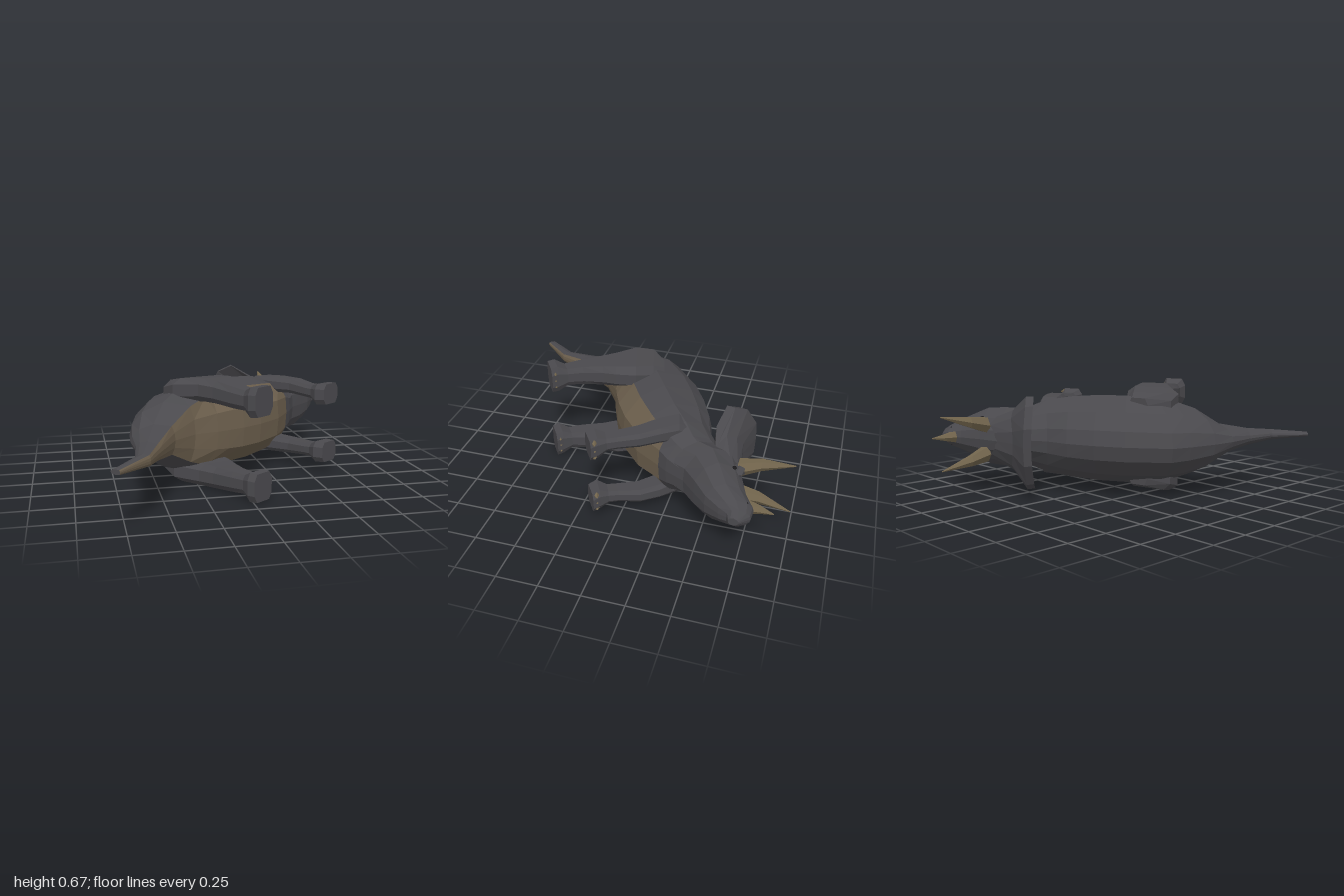
import * as THREE from 'three';

const hide = new THREE.MeshStandardMaterial({ color: 0x4a494d, flatShading: true });
hide.name = 'dark grey hide';
const belly = new THREE.MeshStandardMaterial({ color: 0x6c5f4d, flatShading: true });
belly.name = 'brown belly';
const horn = new THREE.MeshStandardMaterial({ color: 0x71644c, flatShading: true });
horn.name = 'horn';
const eyeBlack = new THREE.MeshStandardMaterial({ color: 0x1c1b1d, flatShading: true });
eyeBlack.name = 'eye black';

const V = (x, w, z) => new THREE.Vector3(x, w, z);

// Closed, capped loft through rings of points; pick(row, col) gives the material index
function loft(name, rings, materials, pick = () => 0) {
  const lists = materials.map(() => []);
  const n = rings[0].length, last = rings.length - 1;
  for (let i = 0; i < last; i++) {
    for (let j = 0; j < n; j++) {
      const k = (j + 1) % n, a = rings[i][j], b = rings[i][k], c = rings[i + 1][k], d = rings[i + 1][j];
      lists[pick(i, j)].push([a, b, c], [a, c, d]);
    }
  }
  for (let j = 1; j < n - 1; j++) {
    lists[0].push([rings[0][0], rings[0][j + 1], rings[0][j]]);
    lists[0].push([rings[last][0], rings[last][j], rings[last][j + 1]]);
  }
  // Turn all faces outward
  let volume = 0;
  const mid = rings[0][0];
  for (const [a, b, c] of lists.flat()) {
    volume += a.clone().sub(mid).dot(b.clone().sub(mid).cross(c.clone().sub(mid)));
  }
  const points = [], geo = new THREE.BufferGeometry();
  lists.forEach((list, m) => {
    geo.addGroup(points.length, list.length * 3, m);
    for (const [a, b, c] of list) points.push(...(volume > 0 ? [a, b, c] : [a, c, b]));
  });
  geo.setFromPoints(points);
  geo.computeVertexNormals();
  const mesh = new THREE.Mesh(geo, materials.length > 1 ? materials : materials[0]);
  mesh.name = name;
  return mesh;
}

// Twelve-sided trunk section from belly to back; edge is the height of the belly's border
function trunkRing([bx, bz, tx, tz, hw, edge = 0.2]) {
  const half = [[0, 0], [0.02, 0.45], [edge, 0.86], [0.48, 1], [0.8, 0.7], [0.96, 0.33], [1, 0]];
  const outline = [...half, ...half.slice(1, -1).reverse().map(([t, w]) => [t, -w])];
  return outline.map(([t, w]) => V(bx + (tx - bx) * t, w * hw, bz + (tz - bz) * t));
}

// Boxy eight-sided leg section between a rear and a front point, inner and outer width
const legOutline = [[1, 0.5], [0.7, 1], [-0.7, 1], [-1, 0.5], [-1, -0.5], [-0.7, -1], [0.7, -1], [1, -0.5]];
const legRing = ([bx, bz, fx, fz, w0, w1], side) => legOutline.map(([p, q]) => {
  const u = (p + 1) / 2, v = (q + 1) / 2;
  return V(bx + (fx - bx) * u, side * (w0 + (w1 - w0) * v), bz + (fz - bz) * u);
});

// Curved six-sided spike through [x, w, z, radius]
const spike = (name, path, side) => loft(name, path.map(([x, w, z, r]) =>
  Array.from({ length: 6 }, (_, i) => {
    const a = i * Math.PI / 3;
    return V(x + r * Math.cos(a), side * w + r * Math.sin(a), z);
  })), [horn]);

// Section rows: belly x, z, back x, z, half width, belly border
const bodyRows = [
  [-0.775, 1.0, -0.82, 0.965, 0.015, 0.1], [-0.6, 0.815, -0.68, 0.77, 0.035, 0.1],
  [-0.53, 0.66, -0.66, 0.56, 0.055, 0.1], [-0.41, 0.41, -0.67, 0.38, 0.1, 0.08],
  [-0.27, 0.29, -0.66, 0.22, 0.2, 0.08], [-0.12, 0.25, -0.625, 0.04, 0.25, 0.15],
  [-0.04, 0.22, -0.59, -0.08, 0.265], [0.06, 0.175, -0.37, -0.26, 0.275],
  [0.19, 0.095, -0.2, -0.355, 0.275], [0.345, -0.04, -0.03, -0.425, 0.26],
  [0.45, -0.205, 0.12, -0.455, 0.235, 0.15], [0.49, -0.26, 0.24, -0.53, 0.195],
  [0.54, -0.36, 0.34, -0.62, 0.15]];
const headRows = [
  [0.475, -0.24, 0.24, -0.53, 0.175], [0.55, -0.38, 0.335, -0.68, 0.19],
  [0.635, -0.46, 0.48, -0.715, 0.183], [0.715, -0.54, 0.62, -0.765, 0.13],
  [0.77, -0.63, 0.7, -0.815, 0.085], [0.79, -0.68, 0.77, -0.81, 0.06],
  [0.815, -0.695, 0.818, -0.755, 0.025]];
// Leg rows: rear x, z, front x, z, inner width, outer width
const hindRows = [
  [-0.33, -0.03, -0.2, -0.065, 0.1, 0.27], [-0.43, 0.07, -0.13, -0.01, 0.13, 0.3],
  [-0.39, 0.18, -0.04, 0.08, 0.18, 0.325], [-0.25, 0.275, 0, 0.2, 0.195, 0.335],
  [-0.18, 0.36, 0, 0.28, 0.195, 0.33], [-0.1, 0.49, 0.01, 0.41, 0.19, 0.315],
  [-0.045, 0.57, 0.045, 0.505, 0.19, 0.305], [-0.035, 0.635, 0.09, 0.55, 0.16, 0.335],
  [0, 0.665, 0.125, 0.58, 0.165, 0.335]];
const foreRows = [
  [0.25, -0.32, 0.34, -0.345, 0.1, 0.22], [0.225, -0.27, 0.375, -0.31, 0.13, 0.25],
  [0.3, -0.18, 0.455, -0.22, 0.155, 0.255], [0.42, -0.065, 0.53, -0.12, 0.16, 0.25],
  [0.49, 0.06, 0.575, 0, 0.155, 0.235], [0.515, 0.1, 0.605, 0.055, 0.15, 0.235],
  [0.52, 0.165, 0.65, 0.09, 0.12, 0.255], [0.57, 0.2, 0.69, 0.12, 0.125, 0.255]];

// Cupped neck shield flaring from the skull: rim x, z, half width, then skull x, z, half width
function makeFrill() {
  const side = [
    [0.4, -0.555, 0.13, 0.47, -0.55, 0.12], [0.26, -0.53, 0.21, 0.46, -0.58, 0.13],
    [0.14, -0.565, 0.285, 0.45, -0.63, 0.13], [0.06, -0.63, 0.235, 0.42, -0.67, 0.09],
    [0.005, -0.685, 0.11, 0.36, -0.68, 0.05]];
  const rows = [...side, [0.005, -0.69, 0, 0.35, -0.68, 0],
    ...side.map(([x, z, w, ix, iz, iw]) => [x, z, -w, ix, iz, -iw]).reverse()];
  return loft('frill', rows.map(([x, z, w, ix, iz, iw]) => [
    V(x + 0.005, w, z - 0.025), V(x - 0.005, w, z + 0.025),
    V(ix - 0.14, iw, iz + 0.07), V(ix, iw, iz),
    V((x + ix) / 2 + 0.01, (w + iw) * 0.45, (z + iz) / 2 + 0.02)]), [hide]);
}

// Row of three small claws on the front edge of a foot
function addClaws(parent, name, x, z, w, side) {
  for (let i = -1; i <= 1; i++) {
    const claw = new THREE.Mesh(new THREE.ConeGeometry(0.022, 0.03, 5), horn);
    claw.name = name;
    claw.position.set(x, side * (w + i * 0.045), z);
    claw.quaternion.setFromUnitVectors(V(0, 1, 0), V(0.83, 0, -0.56).normalize());
    parent.add(claw);
  }
}

export function createModel() {
  const model = new THREE.Group();
  model.name = 'hornedDinosaur';
  // The animal lies on its side, so it mirrors across a level plane
  const animal = new THREE.Group();
  animal.name = 'animal';
  animal.position.y = 0.34;
  model.add(animal);

  const underside = (row, col) => (row < 10 && (col < 2 || col > 9) ? 1 : 0);
  animal.add(loft('bodyAndTail', bodyRows.map(trunkRing), [hide, belly], underside));
  animal.add(loft('head', headRows.map(trunkRing), [hide]));
  animal.add(makeFrill());
  animal.add(spike('noseHorn', [[0.675, 0, -0.78, 0.04], [0.675, 0, -0.84, 0.025], [0.695, 0, -0.925, 0.003]], 1));

  for (const s of [1, -1]) {
    animal.add(loft('hindLeg', hindRows.map((r) => legRing(r, s)), [hide]));
    animal.add(loft('foreLeg', foreRows.map((r) => legRing(r, s)), [hide]));
    addClaws(animal, 'hindClaw', 0.103, 0.568, 0.25, s);
    addClaws(animal, 'foreClaw', 0.666, 0.108, 0.188, s);
    animal.add(spike('browHorn', [[0.455, 0.09, -0.68, 0.055], [0.432, 0.12, -0.81, 0.036],
      [0.452, 0.165, -0.998, 0.003]], s));

    const brow = new THREE.Mesh(new THREE.IcosahedronGeometry(0.05, 0), hide);
    brow.name = 'brow';
    brow.scale.set(1.2, 0.8, 0.8);
    brow.position.set(0.48, s * 0.095, -0.69);
    animal.add(brow);

    const eye = new THREE.Mesh(new THREE.SphereGeometry(0.014, 8, 6), eyeBlack);
    eye.name = 'eye';
    eye.scale.y = 0.6;
    eye.position.set(0.515, s * 0.13, -0.665);
    animal.add(eye);

    const nostril = new THREE.Mesh(new THREE.SphereGeometry(0.008, 6, 4), eyeBlack);
    nostril.name = 'nostril';
    nostril.scale.y = 0.5;
    nostril.position.set(0.71, s * 0.057, -0.775);
    animal.add(nostril);
  }
  return model;
}
